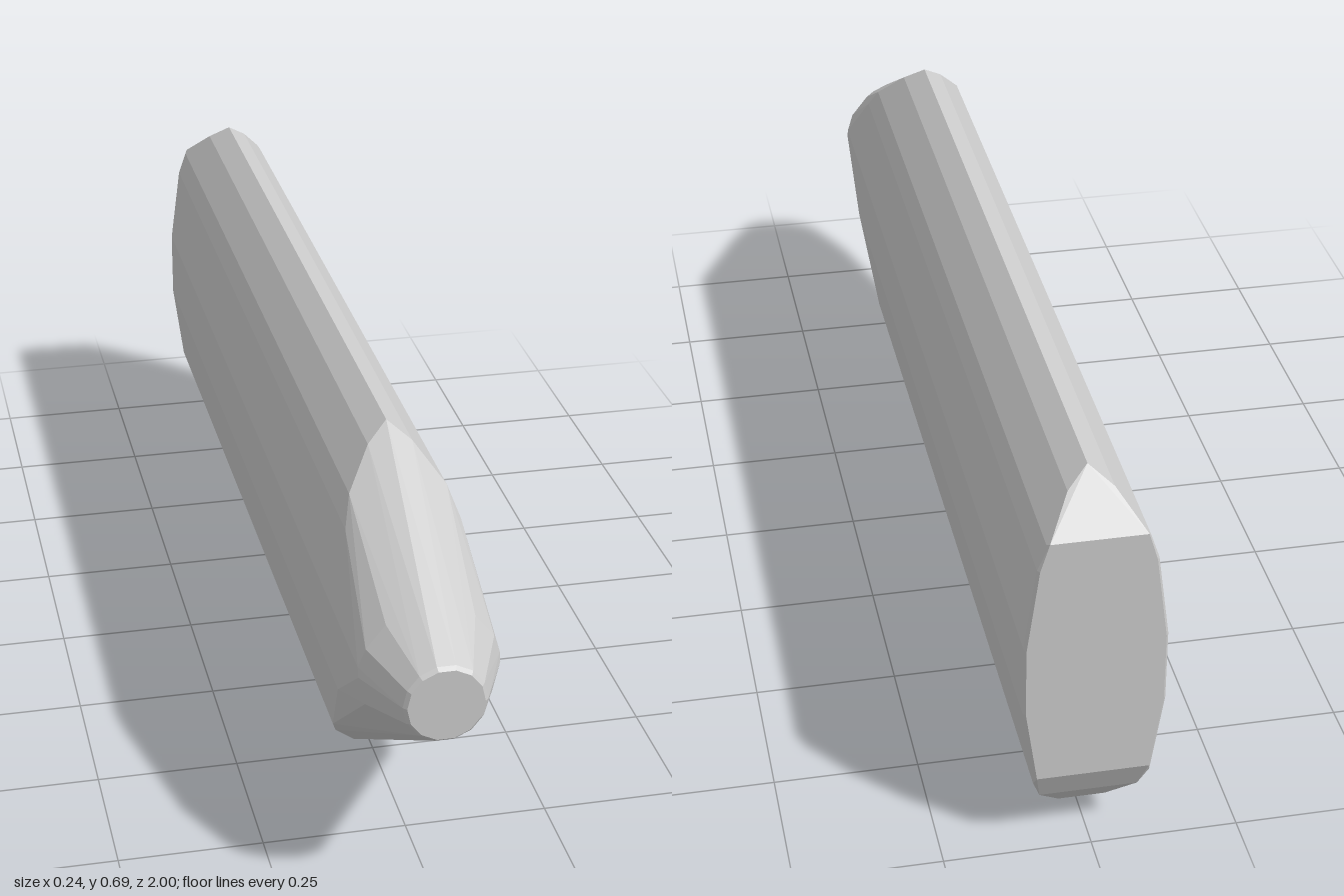
import * as THREE from 'three';
import { ConvexGeometry } from 'three/addons/geometries/ConvexGeometry.js';

export function createModel() {
  const group = new THREE.Group();
  const points = [];
  const add = (x, y, z) => {
    points.push(new THREE.Vector3(x, y, z));
    if (x > 0) points.push(new THREE.Vector3(-x, y, z));
  };

  // Lens-shaped body section: half width, height, front end z, back end z
  const section = [
    [0, 0, -0.35, -0.86],
    [0.04, 0.037, 0.52, -0.925],
    [0.083, 0.09, 0.565, -0.97],
    [0.098, 0.133, 0.61, -0.988],
    [0.118, 0.285, 0.74, -0.994],
    [0.118, 0.415, 0.885, -0.994],
    [0.098, 0.565, 0.70, -0.994],
    [0.083, 0.61, 0.66, -0.992],
    [0.038, 0.667, 0.60, -0.935],
    [0, 0.695, 0.57, -0.905],
  ];
  for (const [x, y, front, back] of section) {
    add(x, y, front);
    add(x, y, back);
  }

  // Flat back face, set in slightly for a fine bevel
  for (const [x, y] of [[0.094, 0.15], [0.114, 0.287], [0.114, 0.413], [0.094, 0.565], [0.079, 0.615]]) {
    add(x, y, -1);
  }

  // Tapered nose: rings shrinking to a bevelled round tip
  const sides = 14;
  for (const [radius, z] of [[0.118, 0.89], [0.07, 0.993], [0.064, 1]]) {
    for (let i = 0; i < sides; i++) {
      const a = (i / sides) * Math.PI * 2;
      points.push(new THREE.Vector3(Math.cos(a) * radius, 0.398 + Math.sin(a) * radius, z));
    }
  }

  const body = new THREE.Mesh(
    new ConvexGeometry(points),
    new THREE.MeshStandardMaterial({ color: 0xcccccc, flatShading: true })
  );
  body.name = 'taperedBody';
  group.add(body);
  return group;
}
